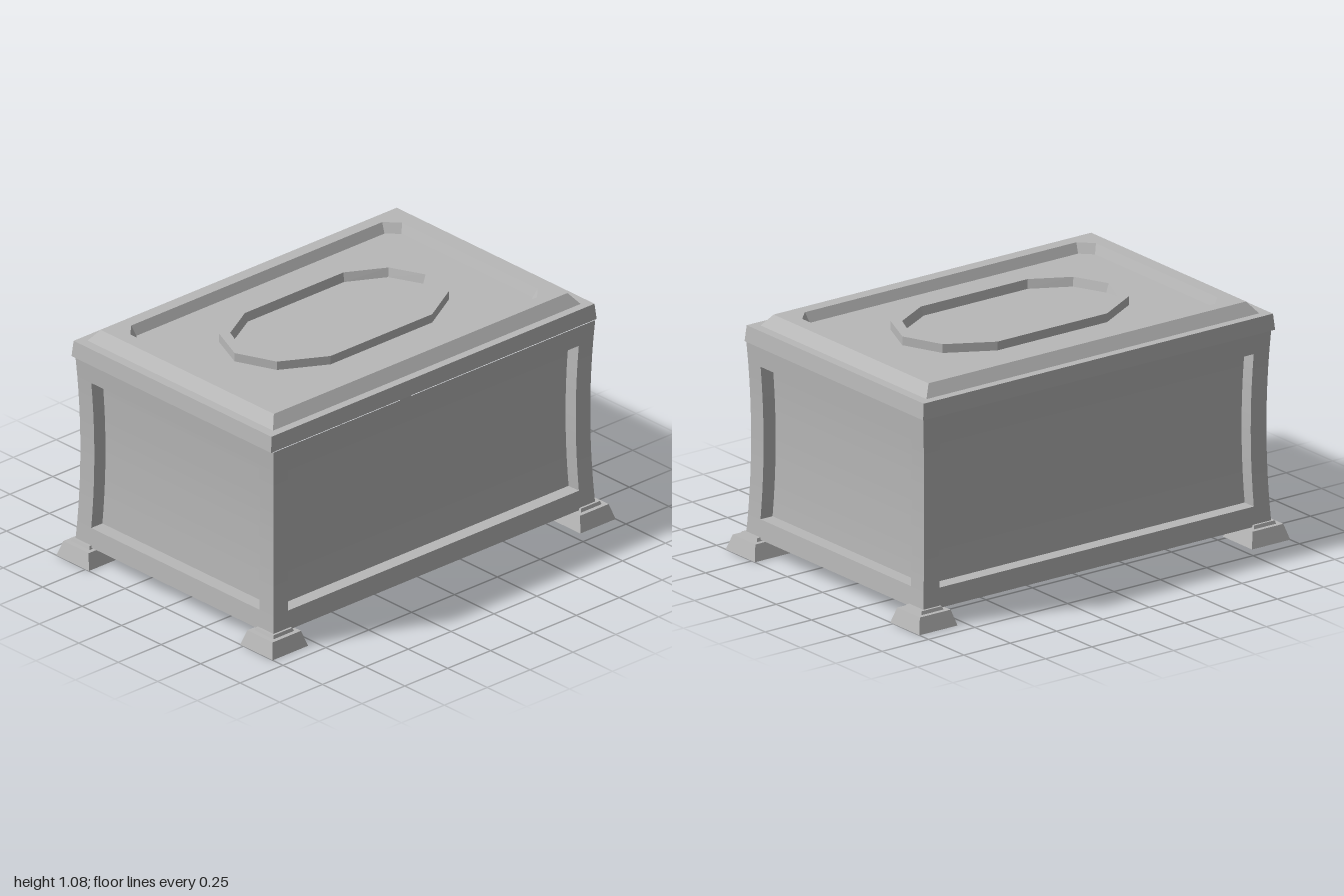
import * as THREE from 'three';

const stone = new THREE.MeshStandardMaterial({ color: 0xb8b8b8 });
stone.name = 'grey stone';

// Flat-shaded mesh from a list of four-cornered faces
function facesMesh(name, quads) {
  const pos = [];
  for (const [a, b, c, d] of quads) pos.push(...a, ...b, ...c, ...a, ...c, ...d);
  const g = new THREE.BufferGeometry();
  g.setAttribute('position', new THREE.Float32BufferAttribute(pos, 3));
  g.computeVertexNormals();
  const mesh = new THREE.Mesh(g, stone);
  mesh.name = name;
  return mesh;
}

// Rectangle with chamfered corners, half sizes a and b, at height y
const rect = (a, b, y, ch = 0) => [
  [-a + ch, y, b], [a - ch, y, b], [a, y, b - ch], [a, y, -b + ch],
  [a - ch, y, -b], [-a + ch, y, -b], [-a, y, -b + ch], [-a, y, b - ch],
];

// Ten-cornered stretched oval
const oval = (xs, zs, y) => {
  const [x0, x1, x2] = xs, [z1, z2] = zs;
  return [[-x2, z2], [x2, z2], [x1, z1], [x0, 0], [x1, -z1],
    [x2, -z2], [-x2, -z2], [-x1, -z1], [-x0, 0], [-x1, z1]].map(([x, z]) => [x, y, z]);
};

// Skin successive rings; optional flat caps at the first and last ring
function loft(name, rings, capStart = false, capEnd = false) {
  const quads = [];
  const n = rings[0].length;
  for (let i = 0; i < rings.length - 1; i++) {
    for (let k = 0; k < n; k++) {
      const m = (k + 1) % n;
      quads.push([rings[i][k], rings[i][m], rings[i + 1][m], rings[i + 1][k]]);
    }
  }
  const last = rings[rings.length - 1];
  for (let k = 1; k < n - 2; k += 2) {
    if (capStart) quads.push([rings[0][0], rings[0][k + 2], rings[0][k + 1], rings[0][k]]);
    if (capEnd) quads.push([last[0], last[k], last[k + 1], last[k + 2]]);
  }
  return facesMesh(name, quads);
}

const BOTTOM = 0.075, TOP = 0.955, SILL = 0.165, LINTEL = 0.86, DEPTH = 0.065;
const HALF_X = 0.938, HALF_Z = 0.627;
const waist = (y) => 0.015 * (1 - ((y - 0.515) / 0.44) ** 2);

// One concave wall facing +z with a sunken panel
function wall(name, w, d, panel) {
  const quads = [];
  const P = (u, y, inset = 0) => [u, y, d - waist(y) - inset];
  const strip = (l, r, y0, y1, inset = 0) =>
    quads.push([P(l(y0), y0, inset), P(r(y0), y0, inset), P(r(y1), y1, inset), P(l(y1), y1, inset)]);
  const outer = (y) => w - waist(y);
  const inner = (y) => panel - waist(y) + waist(SILL);
  const neg = (f) => (y) => -f(y);

  const ys = [BOTTOM];
  for (let i = 0; i <= 10; i++) ys.push(SILL + (LINTEL - SILL) * i / 10);
  ys.push(TOP);
  for (let i = 0; i < ys.length - 1; i++) {
    const y0 = ys[i], y1 = ys[i + 1];
    const sunken = i > 0 && i < ys.length - 2;
    strip(neg(outer), neg(inner), y0, y1);
    strip(inner, outer, y0, y1);
    strip(neg(inner), inner, y0, y1, sunken ? DEPTH : 0);
    if (sunken) {
      const a = inner(y0), b = inner(y1);
      quads.push([P(-a, y0), P(-a, y0, DEPTH), P(-b, y1, DEPTH), P(-b, y1)]);
      quads.push([P(a, y0, DEPTH), P(a, y0), P(b, y1), P(b, y1, DEPTH)]);
    }
  }
  // Sill and lintel of the panel
  const s = inner(SILL), t = inner(LINTEL);
  quads.push([P(-s, SILL), P(s, SILL), P(s, SILL, DEPTH), P(-s, SILL, DEPTH)]);
  quads.push([P(-t, LINTEL, DEPTH), P(t, LINTEL, DEPTH), P(t, LINTEL), P(-t, LINTEL)]);
  return facesMesh(name, quads);
}

export function createModel() {
  const model = new THREE.Group();
  model.name = 'chest';

  // Four walls and a hollowed underside
  const body = new THREE.Group();
  body.name = 'body';
  ['frontWall', 'leftWall', 'backWall', 'rightWall'].forEach((name, i) => {
    const side = i % 2 === 1;
    const mesh = side ? wall(name, HALF_Z, HALF_X, 0.533) : wall(name, HALF_X, HALF_Z, 0.848);
    mesh.rotation.y = i * Math.PI / 2;
    body.add(mesh);
  });
  body.add(loft('underside', [
    rect(0.86, 0.55, 0.125), rect(0.86, 0.55, BOTTOM), rect(HALF_X, HALF_Z, BOTTOM),
  ], true));
  body.position.x = -0.004;
  model.add(body);

  // Lid: rim, bevelled plateau and chamfered sunken field
  const lid = new THREE.Group();
  lid.name = 'lid';
  const floorY = 1.037;
  lid.add(loft('lidSlab', [
    rect(0.949, 0.632, TOP), rect(0.942, 0.626, 1.028), rect(0.897, 0.587, 1.028),
    rect(0.856, 0.548, 1.08), rect(0.792, 0.49, 1.08, 0.06), rect(0.775, 0.466, floorY, 0.052),
  ], true, true));
  // Raised oval moulding
  const out = [[0.58, 0.502, 0.296], [0.184, 0.3]];
  const mid = [[0.533, 0.462, 0.288], [0.156, 0.252]];
  const inn = [[0.52, 0.452, 0.28], [0.148, 0.242]];
  lid.add(loft('ovalMoulding', [
    oval(...out, floorY), oval(...out, 1.077), oval(...mid, 1.077), oval(...inn, floorY),
  ]));
  lid.position.set(-0.003, 0, -0.009);
  model.add(lid);

  // Tapered feet
  for (const sx of [-1, 1]) {
    for (const sz of [-1, 1]) {
      const foot = loft('foot', [
        rect(0.103, 0.103, 0), rect(0.083, 0.08, 0.07), rect(0.06, 0.06, 0.07), rect(0.055, 0.055, 0.085),
      ], true, true);
      foot.position.set(sx * 0.897, 0, sz * 0.582);
      model.add(foot);
    }
  }
  return model;
}
